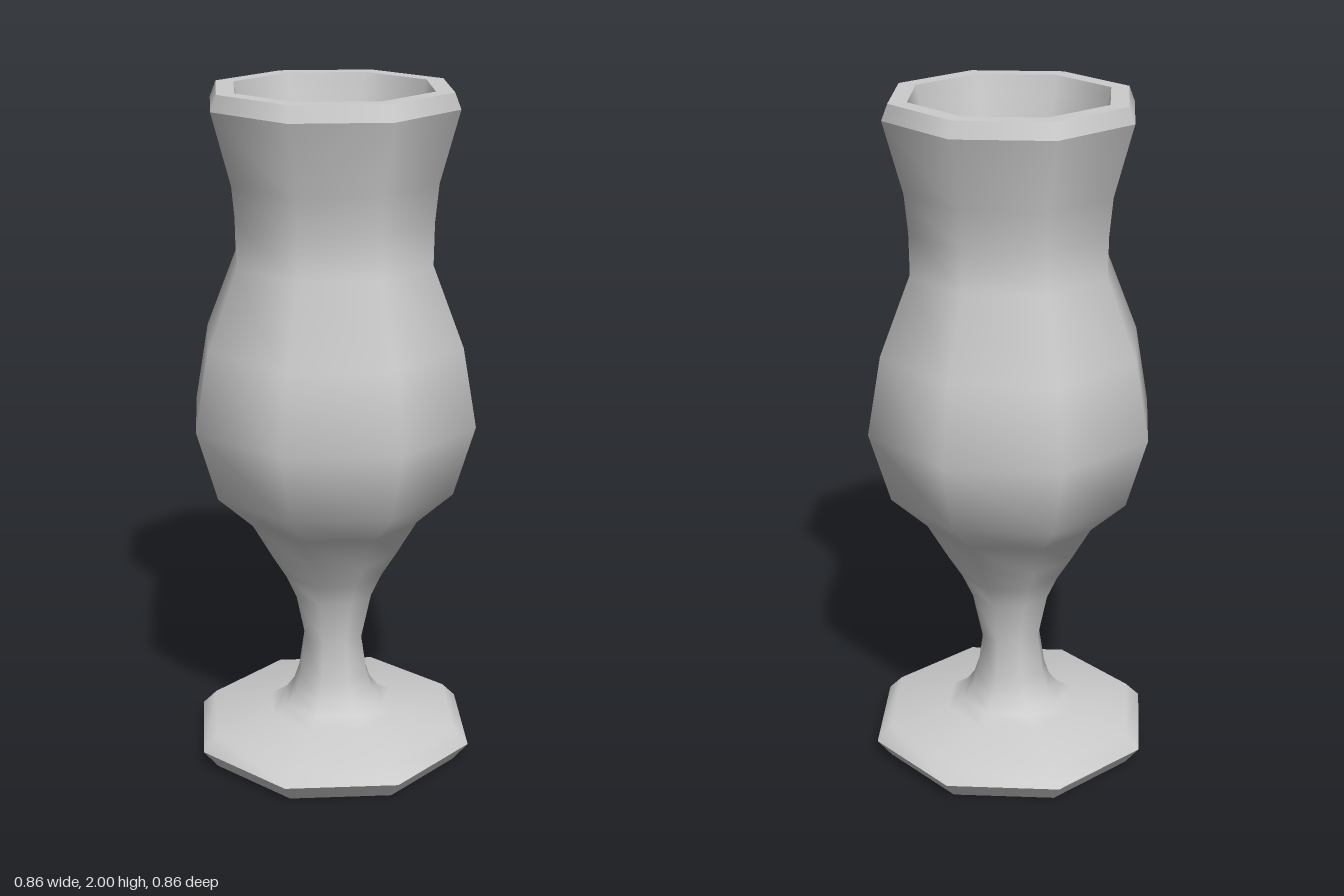
import * as THREE from 'three';

const SIDES = 8;

// Each profile is a list of [radius, height]; a new profile starts at every sharp edge.
const PROFILES = {
  footUnderside: [[0, 0], [0.385, 0]],
  footEdge: [[0.385, 0], [0.428, 0.055]],
  footStemAndBowl: [
    [0.428, 0.055], [0.385, 0.1], [0.2, 0.125], [0.155, 0.15], [0.125, 0.19],
    [0.108, 0.24], [0.09, 0.36], [0.12, 0.5], [0.152, 0.57], [0.195, 0.64],
    [0.258, 0.75], [0.365, 0.85], [0.428, 1.06], [0.387, 1.29], [0.295, 1.52],
    [0.297, 1.64], [0.308, 1.75], [0.365, 1.955],
  ],
  rimBevel: [[0.365, 1.955], [0.347, 2]],
  rimTop: [[0.347, 2], [0.293, 2]],
  innerLip: [[0.293, 2], [0.282, 1.955]],
  bowlInside: [
    [0.282, 1.955], [0.228, 1.75], [0.215, 1.64], [0.208, 1.52], [0.3, 1.29],
    [0.342, 1.06], [0.29, 0.88], [0.19, 0.79], [0.1, 0.72], [0, 0.69],
  ],
};

export function createModel() {
  const glass = new THREE.MeshStandardMaterial({ color: 0xcccccc });
  glass.name = 'pale grey';

  const goblet = new THREE.Group();
  goblet.name = 'goblet';
  for (const [name, profile] of Object.entries(PROFILES)) {
    const points = profile.map(([r, y]) => new THREE.Vector2(r, y));
    const mesh = new THREE.Mesh(new THREE.LatheGeometry(points, SIDES), glass);
    mesh.name = name;
    goblet.add(mesh);
  }
  return goblet;
}
